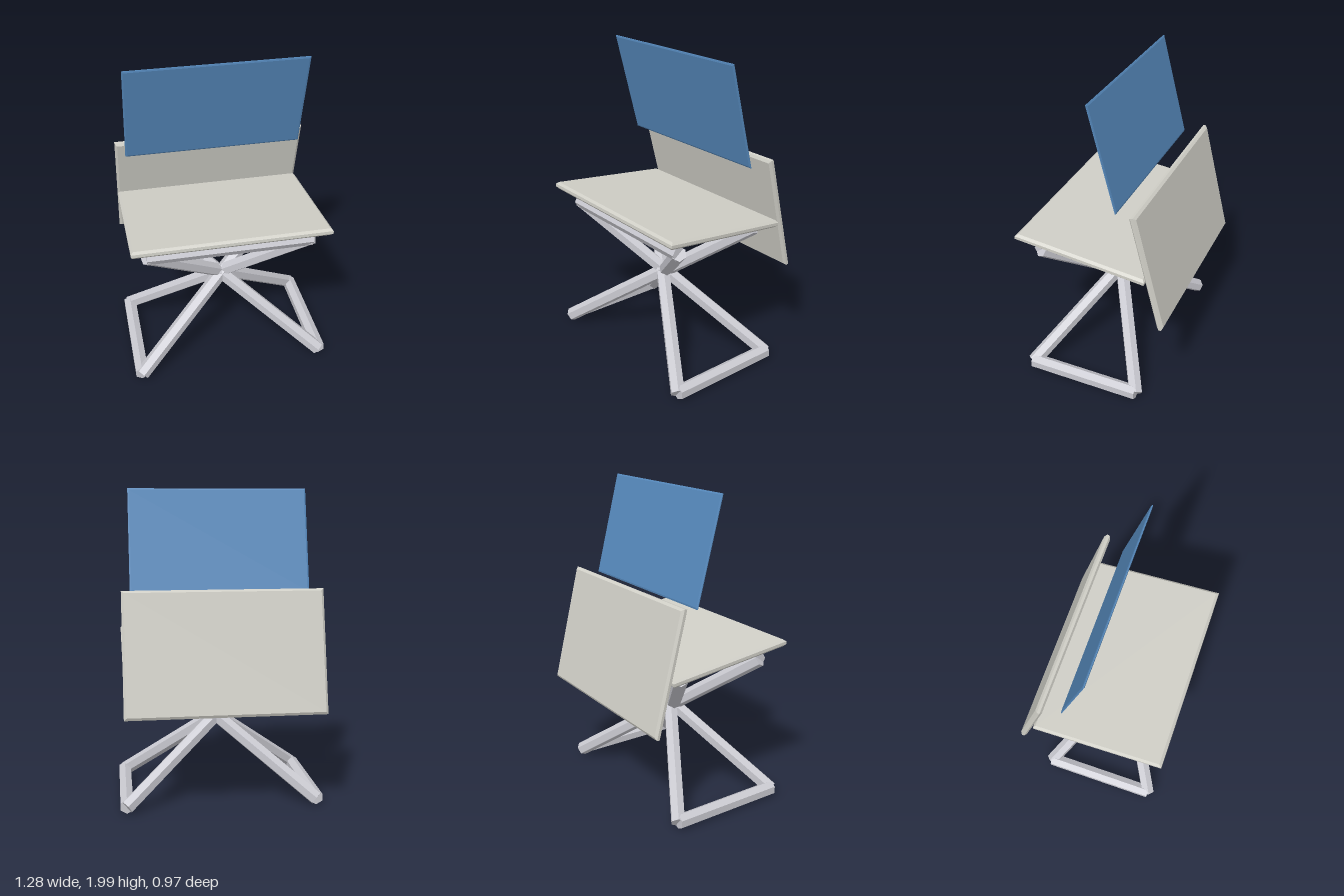
import * as THREE from 'three';

const mat = (color) => new THREE.MeshStandardMaterial({ color, flatShading: true });

// Chamfered rectangular board, standing in the xy plane and tilted about x
function board(name, w, h, t, bevel, y, z, tiltDeg, material) {
  const a = w / 2 - bevel, b = h / 2 - bevel;
  const shape = new THREE.Shape();
  shape.moveTo(-a, -b);
  shape.lineTo(a, -b);
  shape.lineTo(a, b);
  shape.lineTo(-a, b);
  shape.closePath();
  const bevelThickness = t * 0.3;
  const depth = t - 2 * bevelThickness;
  const geo = new THREE.ExtrudeGeometry(shape, {
    depth, bevelEnabled: true, bevelSize: bevel, bevelThickness, bevelSegments: 1,
  });
  geo.translate(0, 0, -depth / 2);
  const mesh = new THREE.Mesh(geo, material);
  mesh.name = name;
  mesh.position.set(-0.005, y, z);
  mesh.rotation.x = THREE.MathUtils.degToRad(tiltDeg);
  return mesh;
}

// Hexagonal bar between two points
function bar(name, from, to, material) {
  const p = new THREE.Vector3(...from), q = new THREE.Vector3(...to);
  const dir = q.clone().sub(p);
  const geo = new THREE.CylinderGeometry(0.046, 0.046, dir.length(), 6);
  const mesh = new THREE.Mesh(geo, material);
  mesh.name = name;
  mesh.position.copy(p).add(q).multiplyScalar(0.5);
  mesh.quaternion.setFromUnitVectors(new THREE.Vector3(0, 1, 0), dir.normalize());
  return mesh;
}

export function createModel() {
  const group = new THREE.Group();
  group.name = 'foldingChair';
  const panel = mat(0xcfcec6);
  const metal = mat(0xc8c8cf);
  const blue = mat(0x5588bb);

  // Seat, backrest and the floating thin upper panel
  group.add(board('seat', 1.23, 0.85, 0.046, 0.015, 1.008, 0.063, 83.7, panel));
  group.add(board('backrest', 1.23, 0.768, 0.042, 0.015, 1.022, -0.373, 14, panel));
  group.add(board('upperPanel', 1.12, 0.662, 0.012, 0.01, 1.678, -0.077, 14.4, blue));

  // Crossed frame: four diagonal legs meeting in the middle
  const frame = new THREE.Group();
  frame.name = 'crossedFrame';
  frame.position.z = 0.06;
  const foot = { x: 0.6, y: 0.055, z: 0.37 };
  const top = { x: 0.52, y: 0.942, z: 0.3 };
  for (const sx of [-1, 1]) {
    for (const sz of [-1, 1]) {
      frame.add(bar('leg', [sx * foot.x, foot.y, sz * foot.z], [-sx * top.x, top.y, -sz * top.z], metal));
    }
  }

  // Floor rails run front to back, seat rails run side to side
  for (const s of [-1, 1]) {
    frame.add(bar('floorRail', [s * foot.x, foot.y + 0.005, -foot.z], [s * foot.x, foot.y + 0.005, foot.z], metal));
    frame.add(bar('seatRail', [-top.x, top.y, s * top.z], [top.x, top.y, s * top.z], metal));
  }
  group.add(frame);
  return group;
}
